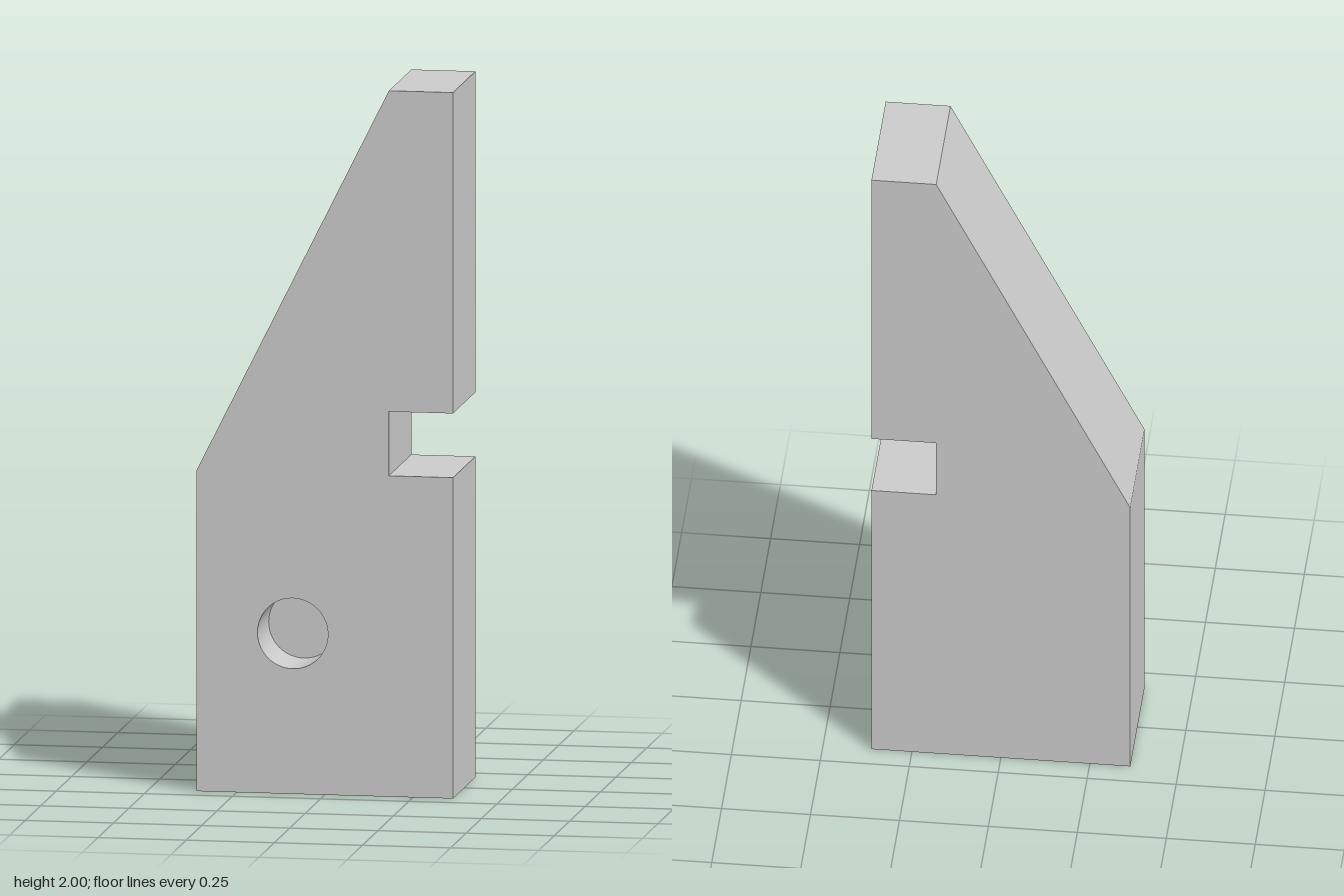
import * as THREE from 'three';
import { toCreasedNormals, mergeGeometries } from 'three/addons/utils/BufferGeometryUtils.js';

const U = 2 / 11;            // design unit: the block is 4 x 11 x 2 units
const HALF_DEPTH = U;
const HOLE = { x: -0.5 * U, y: 2.5 * U, radius: 0.1, depth: U, segments: 48 };

// Side outline, counter-clockwise seen from the front
const outline = [
  [-2, 0], [2, 0], [2, 5], [1, 5], [1, 6], [2, 6], [2, 11], [1, 11], [-2, 5],
].map(([x, y]) => new THREE.Vector2(x * U, y * U));

// One flat wall for each edge of the outline, facing outwards
function wallGeometry() {
  const walls = outline.map((a, i) => {
    const b = outline[(i + 1) % outline.length];
    const wall = new THREE.PlaneGeometry(2 * HALF_DEPTH, a.distanceTo(b));
    wall.rotateY(Math.PI / 2);
    wall.rotateZ(Math.atan2(b.y - a.y, b.x - a.x) - Math.PI / 2);
    wall.translate((a.x + b.x) / 2, (a.y + b.y) / 2, 0);
    return wall;
  });
  return mergeGeometries(walls);
}

export function createModel() {
  const group = new THREE.Group();
  group.name = 'notchedBlock';
  const material = new THREE.MeshStandardMaterial({ color: 0xcccccc });
  const add = (name, geometry) => {
    const mesh = new THREE.Mesh(geometry, material);
    mesh.name = name;
    group.add(mesh);
    return mesh;
  };

  // Front face, pierced by the hole
  const frontShape = new THREE.Shape(outline);
  const rim = new THREE.Path();
  rim.absarc(HOLE.x, HOLE.y, HOLE.radius, 0, Math.PI * 2, true);
  frontShape.holes.push(rim);
  add('frontFace', new THREE.ShapeGeometry(frontShape, HOLE.segments / 2)).position.z = HALF_DEPTH;

  // Solid back face, mirrored before turning so it keeps the outline
  const mirrored = outline.map((p) => new THREE.Vector2(-p.x, p.y));
  const back = add('backFace', new THREE.ShapeGeometry(new THREE.Shape(mirrored)));
  back.rotation.y = Math.PI;
  back.position.z = -HALF_DEPTH;

  // Base, sides, notch, top and slope
  add('edgeWalls', wallGeometry());

  // Blind hole: inward-facing wall and flat floor
  const { radius, depth, segments } = HOLE;
  const profile = [[radius, 0], [radius, -depth], [0, -depth]].map(([x, y]) => new THREE.Vector2(x, y));
  const bore = toCreasedNormals(new THREE.LatheGeometry(profile, segments), Math.PI / 6);
  bore.rotateX(Math.PI / 2);
  add('blindHole', bore).position.set(HOLE.x, HOLE.y, HALF_DEPTH);

  return group;
}
